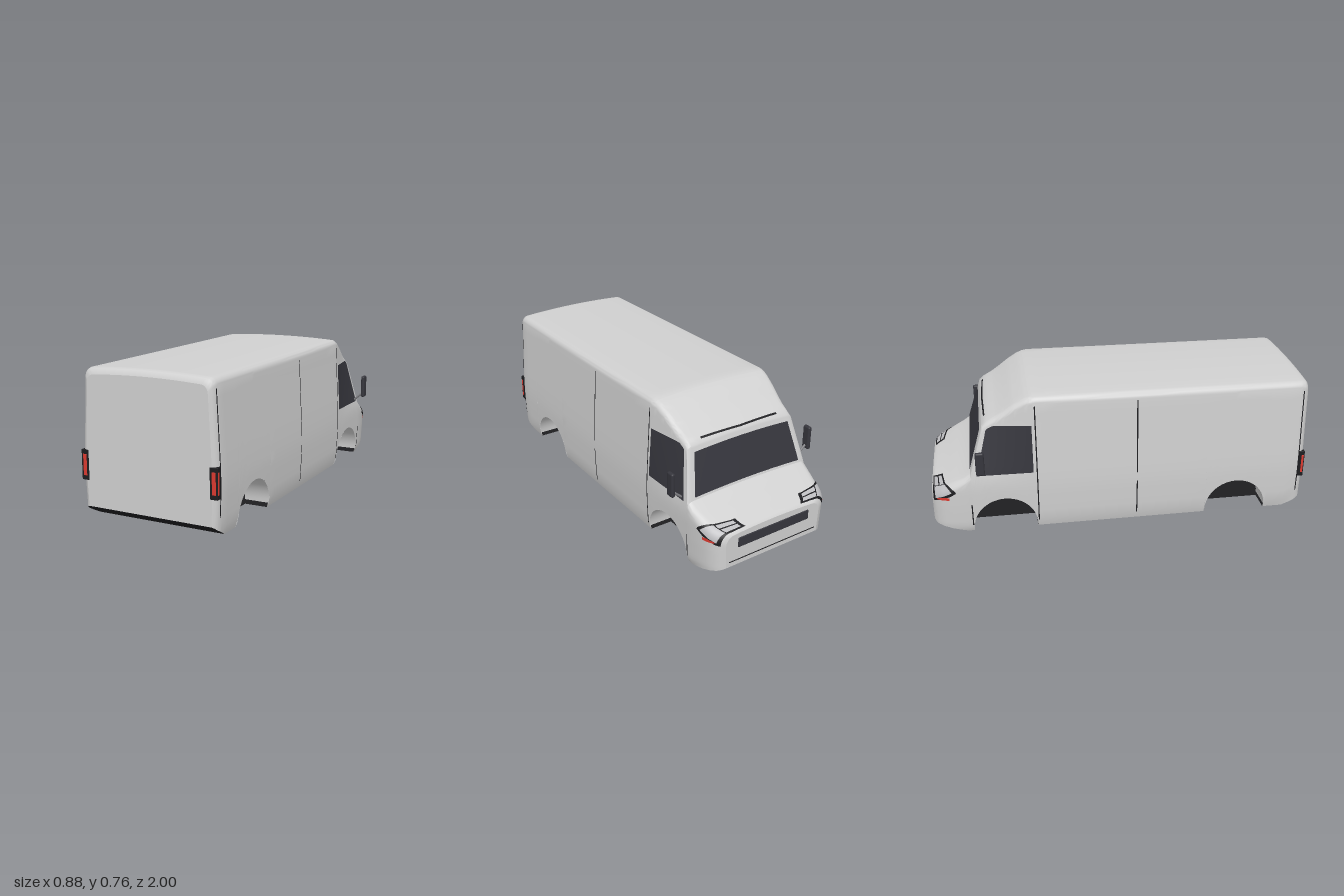
import * as THREE from 'three';
import { toCreasedNormals } from 'three/addons/utils/BufferGeometryUtils.js';
import { RoundedBoxGeometry } from 'three/addons/geometries/RoundedBoxGeometry.js';

const mat = (name, color) => Object.assign(new THREE.MeshStandardMaterial({ color, side: THREE.DoubleSide }), { name });

// Piecewise linear lookup in a list of [position, value] pairs
function lookup(list, p) {
  if (p <= list[0][0]) return list[0][1];
  for (let i = 1; i < list.length; i++) {
    const [a, va] = list[i - 1], [b, vb] = list[i];
    if (p <= b) return va + (vb - va) * (p - a) / (b - a);
  }
  return list[list.length - 1][1];
}
const clamp = v => Math.min(1, Math.max(0, v));
const lerp = (a, b, t) => a + (b - a) * t;

// Profiles: roof line, underside, narrowing in plan, width by height (cab end is -z)
const TOP = [[-0.995, 0.225], [-0.985, 0.238], [-0.92, 0.268], [-0.86, 0.298], [-0.82, 0.317], [-0.79, 0.338],
  [-0.715, 0.588], [-0.69, 0.61], [-0.64, 0.637], [-0.6, 0.664], [-0.55, 0.7], [-0.5, 0.729], [-0.47, 0.74],
  [-0.44, 0.744], [0.3, 0.739], [0.96, 0.735], [0.98, 0.73], [0.99, 0.722], [0.997, 0.705]];
const BASE = [[-0.995, 0.055], [-0.98, 0.045], [-0.82, 0], [0.9, 0], [0.98, 0.045], [0.997, 0.06]];
const INSET = [[-0.995, 0.08], [-0.985, 0.056], [-0.97, 0.038], [-0.94, 0.02], [-0.9, 0.009], [-0.82, 0],
  [0.95, 0], [0.975, 0.005], [0.99, 0.014], [0.997, 0.028]];
const WIDTH = [[0, 0.352], [0.015, 0.36], [0.05, 0.366], [0.15, 0.371], [0.25, 0.374], [0.35, 0.371], [0.7, 0.353]];
const ARCHES = [-0.62, 0.625], ARCH_R = 0.167, ARCH_Y = 0.024, WELL_X = 0.23;

const archAt = z => ARCHES.find(c => Math.abs(z - c) <= ARCH_R + 1e-6);
function bottom(z) {
  const c = archAt(z);
  return c === undefined ? lookup(BASE, z) : ARCH_Y + Math.sqrt(Math.max(0, ARCH_R ** 2 - (z - c) ** 2));
}
const radius = z => lookup([[-0.9, 0.045], [-0.78, 0.03], [0, 0.035]], z);
const halfWidth = (y, z) => lookup(WIDTH, y) - lookup(INSET, z)
  - 0.04 * clamp((-0.45 - z) / 0.25) * clamp((y - 0.3) / 0.3);

// Half section at z: s 0-1 is the side, 1-2 the shoulder, 2-3 the roof to the centre line
function skin(s, z) {
  const r = radius(z), t = lookup(TOP, z), b = bottom(z), w = halfWidth(t - r, z);
  let x, y;
  if (s <= 1) {
    y = lerp(b, t - r, s);
    x = halfWidth(y, z);
  } else {
    const a = Math.min(1, s - 1) * Math.PI / 2;
    x = (w - r + r * Math.cos(a)) * (s > 2 ? 3 - s : 1);
    y = t - r + r * Math.sin(a);
    y += 0.013 * (1 - (x / w) ** 2);
  }
  return new THREE.Vector3(x, y, z);
}

// Surface from a rule over a grid of points
function grid(nu, nv, f) {
  const pos = [], idx = [];
  for (let j = 0; j <= nv; j++) for (let i = 0; i <= nu; i++) pos.push(...f(i, j).toArray());
  for (let j = 0; j < nv; j++) for (let i = 0; i < nu; i++) {
    const a = j * (nu + 1) + i, c = a + nu + 1;
    idx.push(a, a + 1, c, a + 1, c + 1, c);
  }
  const g = new THREE.BufferGeometry();
  g.setAttribute('position', new THREE.Float32BufferAttribute(pos, 3));
  g.setIndex(idx);
  g.computeVertexNormals();
  return g;
}

// Thin detail following the skin; rule maps (u, v) to [s, z]
function patch(rule, off = 0.004, nu = 14, nv = 10) {
  return grid(nu, nv, (i, j) => {
    const [s, z] = rule(i / nu, j / nv), p = skin(s, z), e = 0.004;
    const ds = s > 2.9 ? p.clone().sub(skin(s - 0.02, z)) : skin(s + 0.02, z).sub(p);
    const dz = skin(s, z + e).sub(skin(s, z - e));
    // Keep wheel arches from tilting the offset
    const n = s < 1 ? new THREE.Vector3(1, 0.05, 0) : ds.cross(dz);
    return p.addScaledVector(n.normalize(), off);
  });
}
const sAt = (y, z) => { const b = bottom(z); return (y - b) / (lookup(TOP, z) - radius(z) - b); };

export function createModel() {
  const van = new THREE.Group();
  van.name = 'van';
  const paint = mat('bodyPaint', 0xd0d0d0), glass = mat('darkGlass', 0x36363d), black = mat('blackTrim', 0x1d1d20),
    red = mat('redLens', 0xdc3a30), lamp = mat('lampGrey', 0xbdbdc0), metal = mat('stalkGrey', 0x808084);
  const add = (name, geo, material, parent = van) => {
    const m = new THREE.Mesh(geo, material);
    m.name = name;
    parent.add(m);
    return m;
  };
  const box = (name, size, at, material, parent, r = 0.003) =>
    add(name, new RoundedBoxGeometry(...size, 2, r), material, parent).position.set(...at);

  // Stations along the length, finer around the wheel arches
  let zs = [...TOP, ...BASE, ...INSET].map(p => p[0]);
  for (let z = -0.4; z < 0.95; z += 0.1) zs.push(z);
  zs = zs.filter(z => archAt(z) === undefined || z < -0.46);
  for (const c of ARCHES) {
    for (let k = 0; k <= 20; k++) zs.push(c + ARCH_R * Math.cos(k * Math.PI / 20));
    zs.push(c - ARCH_R - 0.001, c + ARCH_R + 0.001);
  }
  zs = zs.sort((a, b) => a - b).filter((z, i, l) => i === 0 || z - l[i - 1] > 1e-4);

  // Body shell
  const ss = [];
  for (let i = 0; i < 14; i++) ss.push(i / 14);
  for (let i = 0; i < 7; i++) ss.push(1 + i / 7);
  for (let i = 0; i <= 7; i++) ss.push(2 + i / 7);
  const n = ss.length - 1;
  const ring = (i, z) => {
    const p = skin(ss[i <= n ? i : 2 * n - i], z);
    if (i > n) p.x *= -1;
    return p;
  };
  add('bodyShell', toCreasedNormals(grid(2 * n, zs.length - 1, (i, j) => ring(i, zs[j])), 0.6), paint);
  const cap = z => grid(n, 1, (i, j) => ring(j === (z > 0 ? 1 : 0) ? i : 2 * n - i, z));
  add('rearPanel', cap(0.997), paint);
  add('nosePanel', cap(-0.995), paint);

  // Underside, notched at the wheels and swept up at both ends
  add('floor', toCreasedNormals(grid(1, zs.length - 1, (i, j) => {
    const z = zs[j], x = archAt(z) === undefined ? skin(0, z).x : WELL_X;
    return new THREE.Vector3(i ? x : -x, lookup(BASE, z), z);
  }), 0.3), black);

  // Windscreen, roof vent, headlamps, side windows, seams and mirrors, mirrored left to right
  for (const side of [1, -1]) {
    const half = new THREE.Group();
    half.name = side > 0 ? 'leftSide' : 'rightSide';
    half.scale.x = side;
    van.add(half);

    for (const c of ARCHES) add('wheelArchLining', grid(1, 24, (i, j) => {
      const z = c - ARCH_R * Math.cos(j * Math.PI / 24), p = skin(0, z);
      if (i) p.x = WELL_X;
      return p;
    }), paint, half);

    add('windscreen', patch((u, v) => [lerp(2.04, 3, u), lerp(-0.786, -0.724, v)]), glass, half);
    add('roofVent', patch((u, v) => {
      const s = lerp(2.2, 3, u), z = -0.694 - 0.008 * (s - 2.2);
      return [s, z - 0.008 * v];
    }, 0.003, 12, 1), black, half);

    add('sideWindow', patch((u, v) => {
      const y = lerp(0.335, 0.595, u), z = lerp(lerp(-0.757, -0.69, u), -0.465, v);
      return [Math.min(1, sAt(y, z)), z];
    }, 0.004, 12, 24), glass, half);

    // Door and panel seams
    const seam = (z, y0, y1) => add('panelSeam', patch((u, v) => {
      const zz = z + (v - 0.5) * 0.006;
      return [sAt(lerp(y0, y1, u), zz), zz];
    }, 0.002, 16, 1), black, half);
    seam(0.966, 0.1, 0.69);
    seam(0.08, 0.04, 0.24);
    seam(0.08, 0.29, 0.7);
    seam(-0.446, 0.04, 0.7);
    seam(-0.792, 0.04, 0.17);

    // Headlamp: dark surround, split lens and a red marker below
    const lampPatch = (name, s0, s1, f0, f1, off, m) => add(name, patch((u, v) => {
      const s = lerp(s0, s1, u), k = clamp((s - 0.9) / 1.4);
      return [s, lerp(-0.985, lerp(-0.865, -0.935, k), lerp(f0, f1, v))];
    }, off), m, half);
    lampPatch('headlampSurround', 0.95, 2.36, 0, 1, 0.003, black);
    lampPatch('headlampOuterLens', 1.08, 1.93, 0.12, 0.87, 0.005, lamp);
    lampPatch('headlampInnerLens', 2.0, 2.3, 0.12, 0.45, 0.005, lamp);
    lampPatch('headlampUpperLens', 2.0, 2.3, 0.55, 0.87, 0.005, lamp);
    add('sideMarker', patch((u, v) => {
      const z = lerp(-0.965, -0.905, v);
      return [sAt(lerp(0.2, 0.216, u), z), z];
    }, 0.005, 4, 6), red, half);

    // Tail lamp wrapped round the rear corner
    box('tailLampHousing', [0.041, 0.15, 0.031], [0.353, 0.265, 0.9835], black, half);
    box('tailLampLens', [0.022, 0.108, 0.018], [0.354, 0.265, 0.991], red, half);
    box('tailLampSideLens', [0.008, 0.108, 0.014], [0.3705, 0.265, 0.988], red, half);

    // Door mirror on its stalk
    box('mirror', [0.022, 0.128, 0.045], [0.427, 0.435, -0.735], glass, half, 0.009);
    const path = new THREE.LineCurve3(new THREE.Vector3(0.352, 0.335, -0.735), new THREE.Vector3(0.423, 0.395, -0.735));
    add('mirrorStalk', new THREE.TubeGeometry(path, 1, 0.006, 8), metal, half);
  }

  // Nose grille and bumper line
  box('grille', [0.44, 0.052, 0.008], [0, 0.178, -0.996], glass, van);
  box('bumperLine', [0.54, 0.004, 0.004], [0, 0.082, -0.996], black, van, 0.001);
  return van;
}
